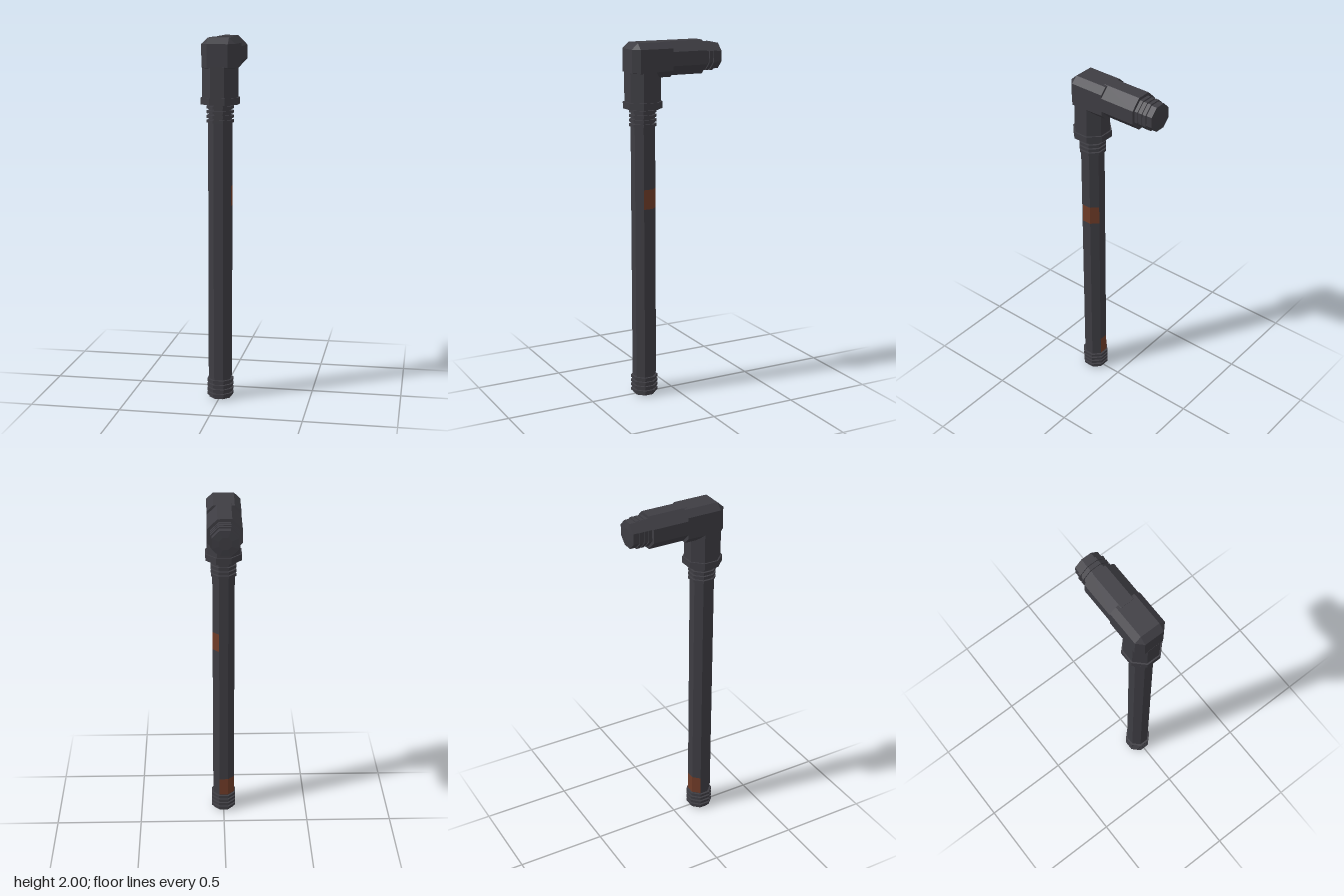
import * as THREE from 'three';
import { ConvexGeometry } from 'three/addons/geometries/ConvexGeometry.js';

const darkMetal = new THREE.MeshStandardMaterial({ color: 0x3e3d43 });
darkMetal.name = 'darkMetal';
const rust = new THREE.MeshStandardMaterial({ color: 0x703c28 });
rust.name = 'rust';

const PIPE_Z = 0.175; // axis of the upright pipe
const ARM_Y = 1.908; // axis of the short arm
const EIGHTH = Math.PI / 4;

// Faceted normals for hard-edged low-poly parts
function facet(geometry) {
  const flat = geometry.toNonIndexed();
  flat.computeVertexNormals();
  return flat;
}

// Octagonal prism with flat sides facing the axes; a is centre-to-flat distance
function octagon(a, from, to, { start = 0, sides = 8, open = false, aTop = a } = {}) {
  const k = 1 / Math.cos(EIGHTH / 2);
  const g = new THREE.CylinderGeometry(aTop * k, a * k, to - from, sides, 1, open,
    EIGHTH / 2 + start * EIGHTH, sides * EIGHTH);
  g.translate(0, (from + to) / 2, 0);
  return facet(g);
}

export function createModel() {
  const model = new THREE.Group();
  const upright = new THREE.Group();
  upright.name = 'uprightPipe';
  upright.position.z = PIPE_Z;
  const arm = new THREE.Group();
  arm.name = 'sideArm';
  arm.position.y = ARM_Y;
  arm.rotation.x = -Math.PI / 2; // local +y points to the back
  model.add(upright, arm);

  const add = (parent, name, geometry, material = darkMetal) => {
    const mesh = new THREE.Mesh(geometry, material);
    mesh.name = name;
    parent.add(mesh);
  };

  // Raised thread rings spaced along a pipe
  const threads = (parent, name, a, first, pitch, height, count) => {
    for (let i = 0; i < count; i++) {
      const y = first + i * pitch;
      add(parent, name, octagon(a, y, y + height));
    }
  };

  // Upright pipe with threaded ends
  add(upright, 'pipe', octagon(0.062, 0.12, 1.55));
  add(upright, 'lowerThreadCore', octagon(0.058, 0, 0.12));
  add(upright, 'upperThreadCore', octagon(0.058, 1.55, 1.65));
  threads(upright, 'lowerThread', 0.07, 0.015, 0.026, 0.015, 4);
  threads(upright, 'upperThread', 0.07, 1.545, 0.025, 0.015, 4);

  // Rust patches, each wrapping two faces of the pipe
  add(upright, 'upperRustPatch', octagon(0.0628, 1.09, 1.2, { start: 1, sides: 2, open: true }), rust);
  add(upright, 'lowerRustPatch', octagon(0.0628, 0.115, 0.225, { start: 3, sides: 2, open: true }), rust);

  // Elbow leg and collar
  add(upright, 'collar', octagon(0.1, 1.643, 1.68));
  add(upright, 'elbowLeg', octagon(0.092, 1.68, 1.845));

  // Chamfered elbow block
  const w = 0.092, c = 0.057; // half width, half width inside the chamfer
  const corners = [];
  for (const s of [-1, 1]) {
    for (const [x, y, z] of [
      [c, 1.998, 0.23], [w, 1.965, 0.23], [c, 1.965, 0.266],
      [c, 1.84, 0.266], [w, 1.84, 0.23], [w, 1.845, 0.12],
      [c, 1.81, 0.12], [c, 1.81, 0.035], [w, 1.845, 0.035],
      [w, 1.965, 0.035], [c, 1.998, 0.035],
    ]) corners.push(new THREE.Vector3(s * x, y, z));
  }
  add(model, 'elbowBlock', new ConvexGeometry(corners));

  // Arm socket, threaded nipple and end
  add(arm, 'armSocket', octagon(0.092, -0.055, 0.17));
  add(arm, 'nippleCore', octagon(0.07, 0.17, 0.275));
  threads(arm, 'nippleThread', 0.077, 0.171, 0.026, 0.018, 3);
  add(arm, 'nippleEnd', octagon(0.068, 0.275, 0.278, { aTop: 0.033 }));

  return model;
}
